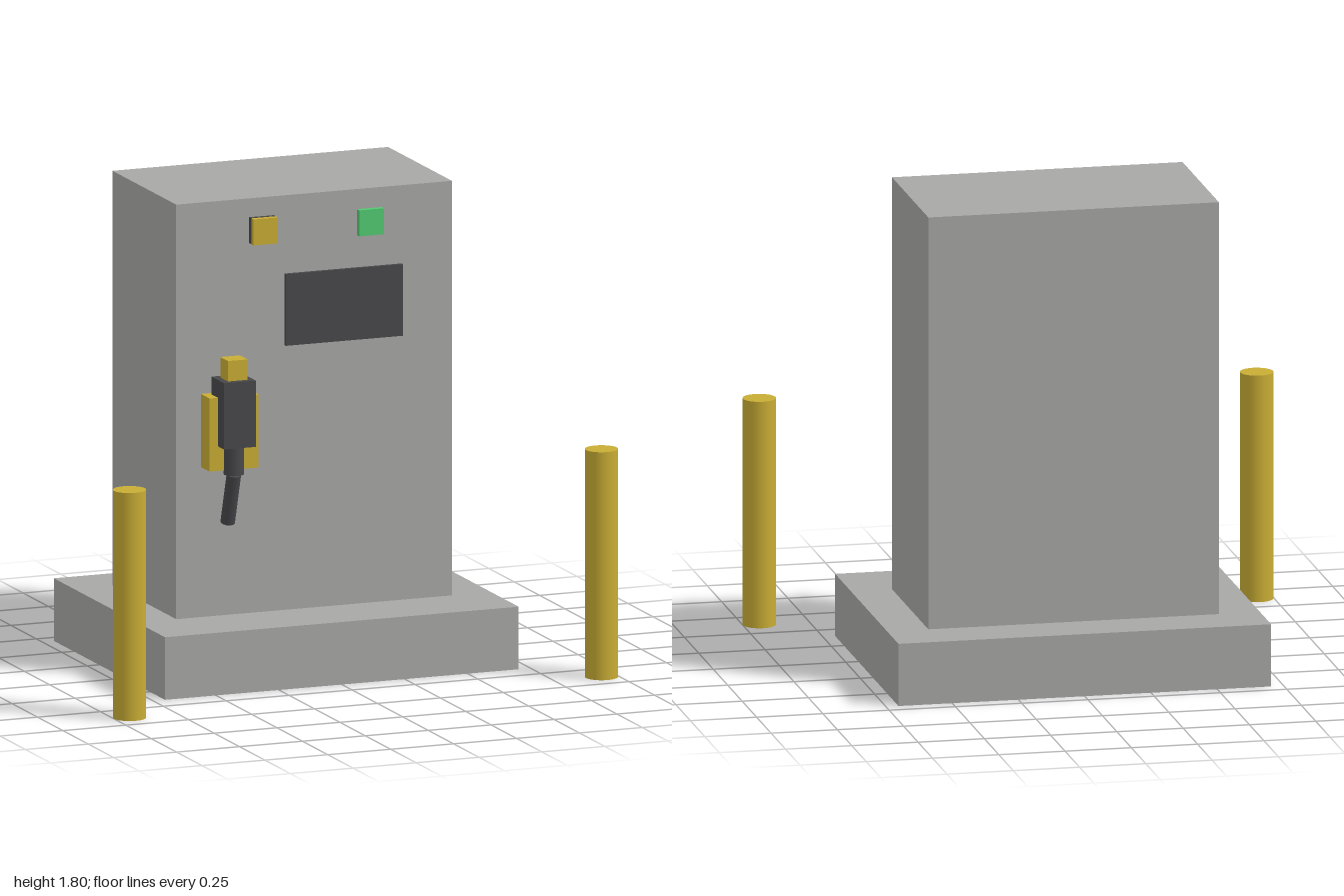
import * as THREE from 'three';

const material = (name, color) => {
  const m = new THREE.MeshStandardMaterial({ color });
  m.name = name;
  return m;
};

export function createModel() {
  const group = new THREE.Group();
  const grey = material('grey', 0xa7a7a5);
  const yellow = material('yellow', 0xc8ac34);
  const dark = material('dark', 0x48484b);
  const green = material('green', 0x52c971);

  const add = (name, geometry, mat) => {
    const mesh = new THREE.Mesh(geometry, mat);
    mesh.name = name;
    group.add(mesh);
    return mesh;
  };
  // Box from its minimum and maximum corners
  const box = (name, mat, [x0, y0, z0], [x1, y1, z1]) =>
    add(name, new THREE.BoxGeometry(x1 - x0, y1 - y0, z1 - z0), mat)
      .position.set((x0 + x1) / 2, (y0 + y1) / 2, (z0 + z1) / 2);
  // Cylinder between two points
  const rod = (name, mat, radius, sides, a, b) => {
    const from = new THREE.Vector3(...a), to = new THREE.Vector3(...b);
    const dir = to.clone().sub(from);
    const mesh = add(name, new THREE.CylinderGeometry(radius, radius, dir.length(), sides), mat);
    mesh.position.copy(from).add(to).multiplyScalar(0.5);
    mesh.quaternion.setFromUnitVectors(new THREE.Vector3(0, 1, 0), dir.normalize());
  };

  // Plinth and cabinet
  box('plinth', grey, [-0.703, 0, -0.695], [0.703, 0.236, 0.4]);
  box('cabinet', grey, [-0.548, 0.236, -0.502], [0.548, 1.8, 0.127]);

  // Screen and indicator buttons
  box('screen', dark, [-0.118, 1.235, 0.127], [0.348, 1.505, 0.142]);
  box('buttonBacking', dark, [-0.26, 1.632, 0.132], [-0.163, 1.73, 0.149]);
  box('yellowButton', yellow, [-0.26, 1.632, 0.152], [-0.163, 1.73, 0.175]);
  box('greenButton', green, [0.16, 1.632, 0.152], [0.258, 1.73, 0.175]);

  // Holster and nozzle
  box('holster', yellow, [-0.45, 0.802, 0.127], [-0.256, 1.078, 0.213]);
  box('nozzleGrip', dark, [-0.417, 0.895, 0.149], [-0.291, 1.145, 0.274]);
  box('nozzleCap', yellow, [-0.392, 1.145, 0.174], [-0.314, 1.222, 0.25]);
  rod('nozzleCollar', dark, 0.038, 12, [-0.354, 0.785, 0.213], [-0.354, 0.895, 0.213]);
  rod('nozzleSpout', dark, 0.027, 12, [-0.354, 0.785, 0.214], [-0.354, 0.592, 0.153]);

  // Guard posts
  for (const side of [-1, 1]) {
    rod(side > 0 ? 'leftPost' : 'rightPost', yellow, 0.062, 24,
      [side * 0.938, 0, 0.633], [side * 0.938, 0.86, 0.633]);
  }
  return group;
}
